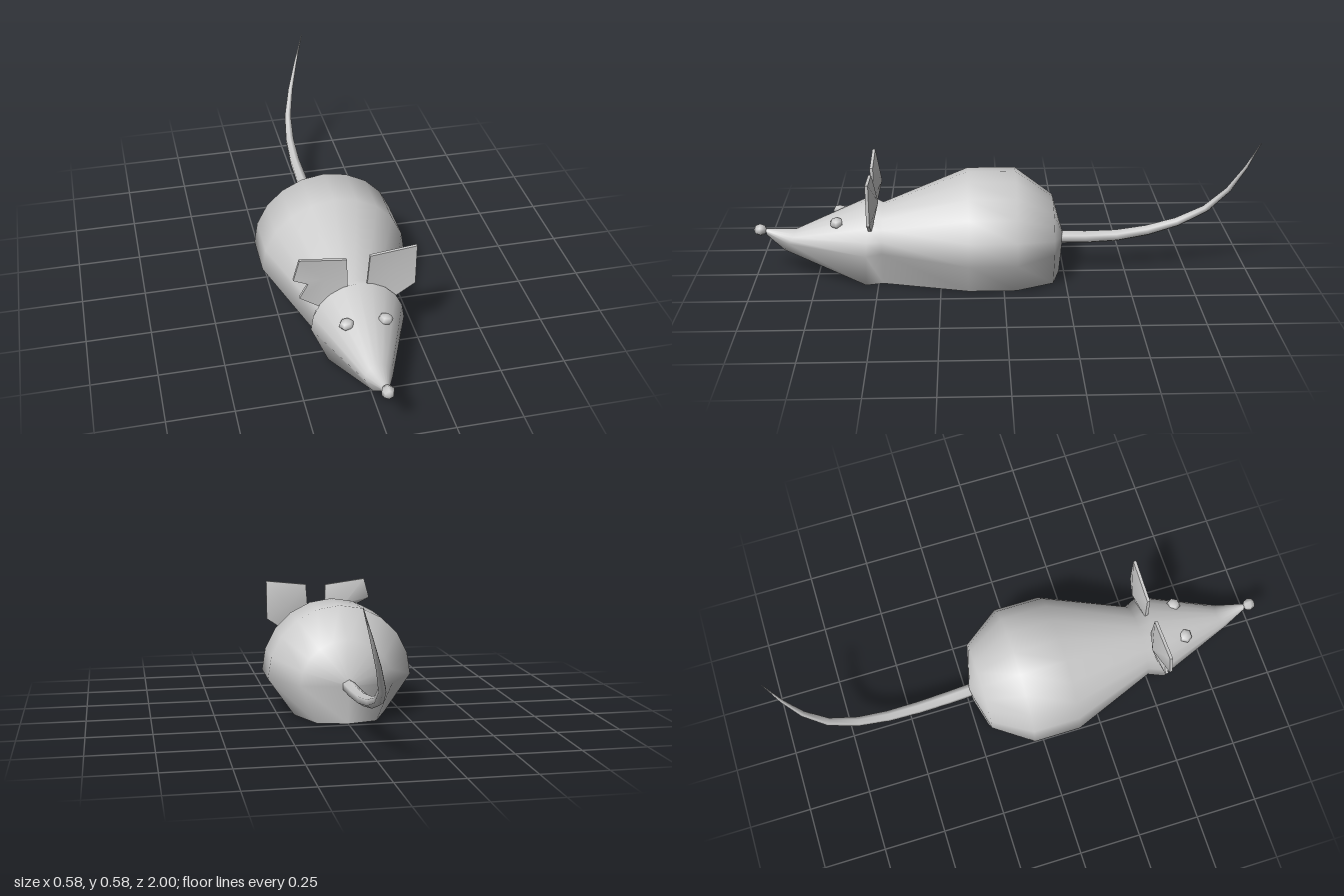
import * as THREE from 'three';
import { mergeVertices, toCreasedNormals } from 'three/addons/utils/BufferGeometryUtils.js';

const grey = new THREE.MeshStandardMaterial({ color: 0xcccccc, side: THREE.DoubleSide });

function addMesh(parent, name, geometry) {
  const mesh = new THREE.Mesh(geometry, grey);
  mesh.name = name;
  parent.add(mesh);
  return mesh;
}

function makeGeometry(positions, index) {
  const g = new THREE.BufferGeometry();
  g.setAttribute('position', new THREE.Float32BufferAttribute(positions, 3));
  g.setIndex(index);
  return g;
}

// Body shell: arched cross-sections from snout to rump, open underneath
function bodyGeometry() {
  // zTop, zBottom, half width, centre y, top y, bottom y, bottom half width
  const sections = [
    [0.95, 0.95, 0.012, 0.19, 0.203, 0.18, 0.008],
    [0.83, 0.88, 0.05, 0.155, 0.197, 0.12, 0.025],
    [0.53, 0.55, 0.178, 0.15, 0.327, 0, 0.115],
    [0.48, 0.48, 0.152, 0.15, 0.302, 0, 0.1],
    [0.14, 0.14, 0.289, 0.15, 0.437, 0, 0.185],
    [-0.05, -0.05, 0.289, 0.15, 0.437, 0, 0.185],
    [-0.2, -0.2, 0.182, 0.15, 0.327, 0, 0.118],
    [-0.245, -0.23, 0, 0.15, 0.165, 0, 0],
  ];
  const arc = 10, ring = arc + 3, chinRows = 2;
  const pos = [], index = [];
  for (const [zt, zb, w, cy, top, bottom, bw] of sections) {
    const point = (x, y) =>
      pos.push(x, y, THREE.MathUtils.lerp(zb, zt, (y - bottom) / (top - bottom)));
    point(bw, bottom);
    for (let j = 0; j <= arc; j++) {
      const a = (j / arc) * Math.PI;
      point(w * Math.cos(a), cy + (top - cy) * Math.sin(a));
    }
    point(-bw, bottom);
  }
  for (let i = 0; i < sections.length - 1; i++) {
    // Only the chin closes across the underside
    const count = i < chinRows ? ring : ring - 1;
    for (let j = 0; j < count; j++) {
      const k = (j + 1) % ring;
      const a = i * ring + j, b = i * ring + k, c = a + ring, d = b + ring;
      index.push(a, c, b, b, c, d);
    }
  }
  const g = mergeVertices(makeGeometry(pos, index), 1e-4);
  g.computeVertexNormals();
  return g;
}

// Ear: thin plate with a slightly dished front and a domed back
function earGeometry(outline) {
  const n = outline.length, pos = [], index = [];
  for (const z of [0.53, 0.518]) for (const [x, y] of outline) pos.push(x, y, z);
  const cx = Math.sign(outline[0][0]) * 0.125;
  pos.push(cx, 0.36, 0.522, cx, 0.36, 0.488);
  const clockwise = THREE.ShapeUtils.isClockWise(outline.map(([x, y]) => new THREE.Vector2(x, y)));
  const tri = (a, b, c) => (clockwise ? index.push(a, c, b) : index.push(a, b, c));
  for (let i = 0; i < n; i++) {
    const k = (i + 1) % n;
    tri(2 * n, i, k);
    tri(2 * n + 1, n + k, n + i);
    tri(i, n + i, k);
    tri(k, n + i, n + k);
  }
  return toCreasedNormals(makeGeometry(pos, index), 0.9);
}

// Tail: tube narrowing to a point
function tailGeometry() {
  const path = new THREE.CatmullRomCurve3([
    [0, 0.152, -0.21], [-0.01, 0.15, -0.45], [-0.015, 0.192, -0.67],
    [0, 0.268, -0.82], [0.04, 0.39, -0.92], [0.104, 0.58, -1],
  ].map((p) => new THREE.Vector3(...p)));
  const steps = 8, sides = 6;
  const g = new THREE.TubeGeometry(path, steps, 0.027, sides);
  const p = g.attributes.position, v = new THREE.Vector3();
  for (let i = 0; i <= steps; i++) {
    const centre = path.getPointAt(i / steps);
    const scale = 1 - 0.95 * Math.pow(i / steps, 1.7);
    for (let j = 0; j <= sides; j++) {
      const k = i * (sides + 1) + j;
      v.fromBufferAttribute(p, k).sub(centre).multiplyScalar(scale).add(centre);
      p.setXYZ(k, v.x, v.y, v.z);
    }
  }
  return g;
}

export function createModel() {
  const mouse = new THREE.Group();
  mouse.name = 'mouse';

  addMesh(mouse, 'body', bodyGeometry());
  addMesh(mouse, 'tail', tailGeometry());

  // The right ear has a notch bitten out of its outer edge
  addMesh(mouse, 'leftEar', earGeometry([
    [0.045, 0.443], [0.22, 0.462], [0.219, 0.295], [0.13, 0.235], [0.035, 0.31],
  ]));
  addMesh(mouse, 'rightEar', earGeometry([
    [-0.042, 0.44], [-0.216, 0.463], [-0.239, 0.378], [-0.185, 0.353],
    [-0.217, 0.295], [-0.13, 0.235], [-0.037, 0.31],
  ]));

  // Eyes
  for (const [name, side] of [['leftEye', 1], ['rightEye', -1]]) {
    const eye = addMesh(mouse, name, new THREE.SphereGeometry(1, 6, 4));
    eye.scale.set(0.03, 0.019, 0.028);
    eye.position.set(side * 0.072, 0.253, 0.66);
    eye.rotation.z = side * -0.15;
  }

  // Nose
  const nose = addMesh(mouse, 'nose', new THREE.SphereGeometry(0.026, 6, 4));
  nose.rotation.x = Math.PI / 2;
  nose.rotation.y = Math.PI / 6;
  nose.position.set(0, 0.198, 0.974);

  return mouse;
}
